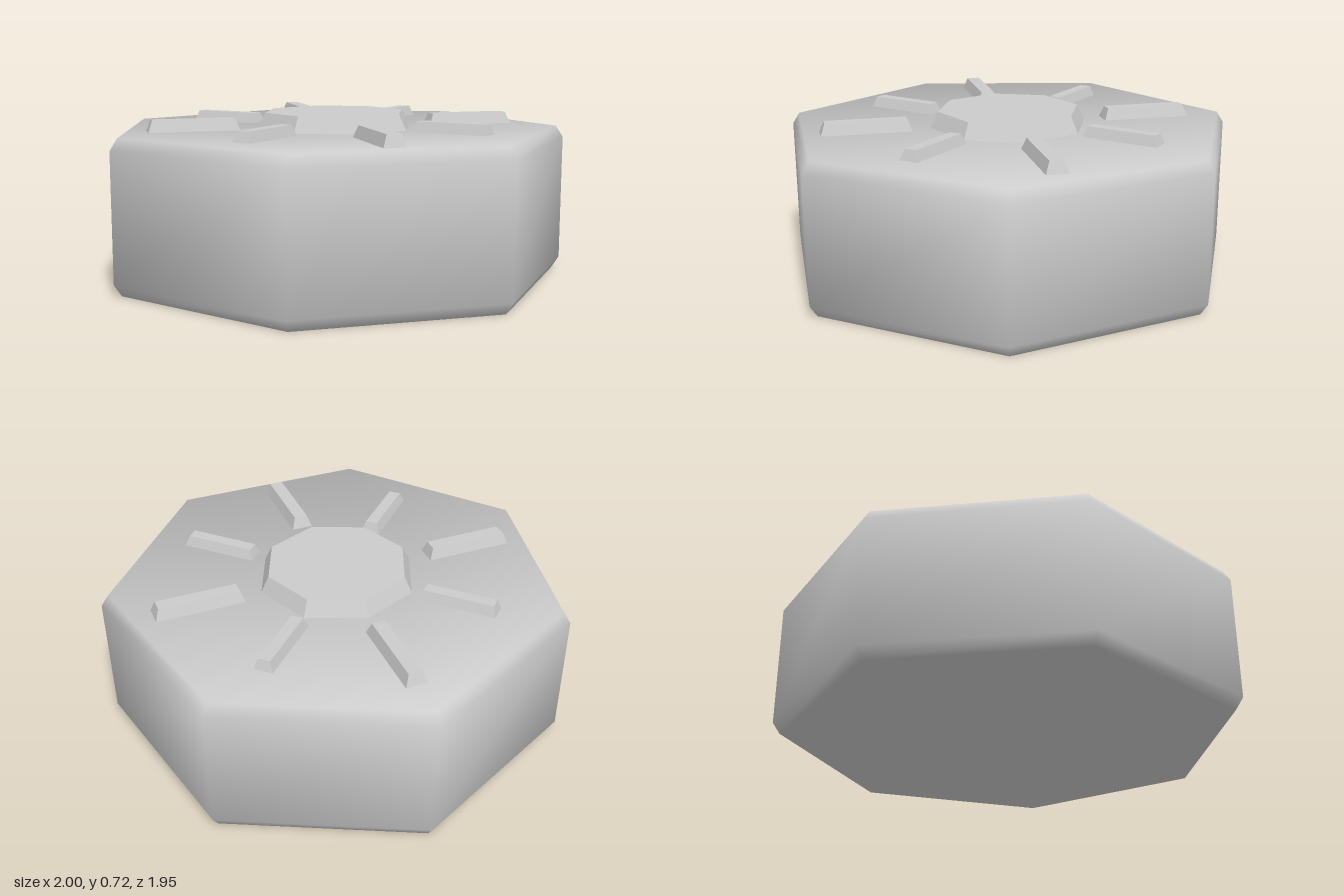
import * as THREE from 'three';

const CZ = 0.05;    // the heptagon's axis sits slightly forward
const TOP = 0.65;   // height of the body's top face

// Bevelled seven-sided drum, softly shaded across its edges
function drumGeometry() {
  const n = 7;
  // radius, height, normal tilt above horizontal (degrees)
  const rings = [[0.993, 0, -54], [1.026, 0.05, -17], [1.026, 0.6, 17], [0.993, TOP, 54]];
  const pos = [], nor = [], idx = [];
  for (const [r, y, tilt] of rings) {
    const t = THREE.MathUtils.degToRad(tilt);
    for (let i = 0; i < n; i++) {
      const a = Math.PI + (i / n) * Math.PI * 2;
      pos.push(r * Math.sin(a), y, r * Math.cos(a));
      nor.push(Math.cos(t) * Math.sin(a), Math.sin(t), Math.cos(t) * Math.cos(a));
    }
  }
  for (let k = 0; k < rings.length - 1; k++) {
    for (let i = 0; i < n; i++) {
      const a = k * n + i, b = k * n + (i + 1) % n;
      idx.push(a, b, b + n, a, b + n, a + n);
    }
  }
  // bottom and top caps
  const t0 = (rings.length - 1) * n;
  for (let i = 1; i < n - 1; i++) {
    idx.push(0, i + 1, i);
    idx.push(t0, t0 + i, t0 + i + 1);
  }
  const g = new THREE.BufferGeometry();
  g.setAttribute('position', new THREE.Float32BufferAttribute(pos, 3));
  g.setAttribute('normal', new THREE.Float32BufferAttribute(nor, 3));
  g.setIndex(idx);
  return g;
}

// Bar along z whose top is drawn in on all sides
function barGeometry(width, height, length, inset) {
  const g = new THREE.BoxGeometry(width, height, length).toNonIndexed();
  const p = g.attributes.position;
  for (let i = 0; i < p.count; i++) {
    if (p.getY(i) > 0) {
      p.setX(i, p.getX(i) - Math.sign(p.getX(i)) * inset);
      p.setZ(i, p.getZ(i) - Math.sign(p.getZ(i)) * inset);
    }
  }
  g.computeVertexNormals();
  return g;
}

export function createModel() {
  const model = new THREE.Group();
  model.name = 'heptagonalDrum';
  const grey = new THREE.MeshStandardMaterial({ color: 0xcccccc });
  grey.name = 'grey';

  const body = new THREE.Mesh(drumGeometry(), grey);
  body.name = 'body';
  body.position.z = CZ;
  model.add(body);

  // raised octagonal hub
  const hubGeo = new THREE.CylinderGeometry(0.315, 0.35, 0.07, 8).toNonIndexed();
  hubGeo.computeVertexNormals();
  const hub = new THREE.Mesh(hubGeo, grey);
  hub.name = 'hub';
  hub.position.set(0, TOP + 0.035, CZ);
  model.add(hub);

  // eight raised bars around the hub, the diagonal ones a little smaller
  const longBar = barGeometry(0.095, 0.05, 0.39, 0.018);
  const shortBar = barGeometry(0.084, 0.045, 0.34, 0.016);
  for (let i = 0; i < 8; i++) {
    const diagonal = i % 2 === 1;
    const bar = new THREE.Mesh(diagonal ? shortBar : longBar, grey);
    const a = (i * Math.PI) / 4;
    const r = diagonal ? 0.565 : 0.63;
    bar.name = 'radialBar' + (i + 1);
    bar.position.set(r * Math.sin(a), TOP + (diagonal ? 0.0225 : 0.025), CZ + r * Math.cos(a));
    bar.rotation.y = a;
    model.add(bar);
  }
  return model;
}
